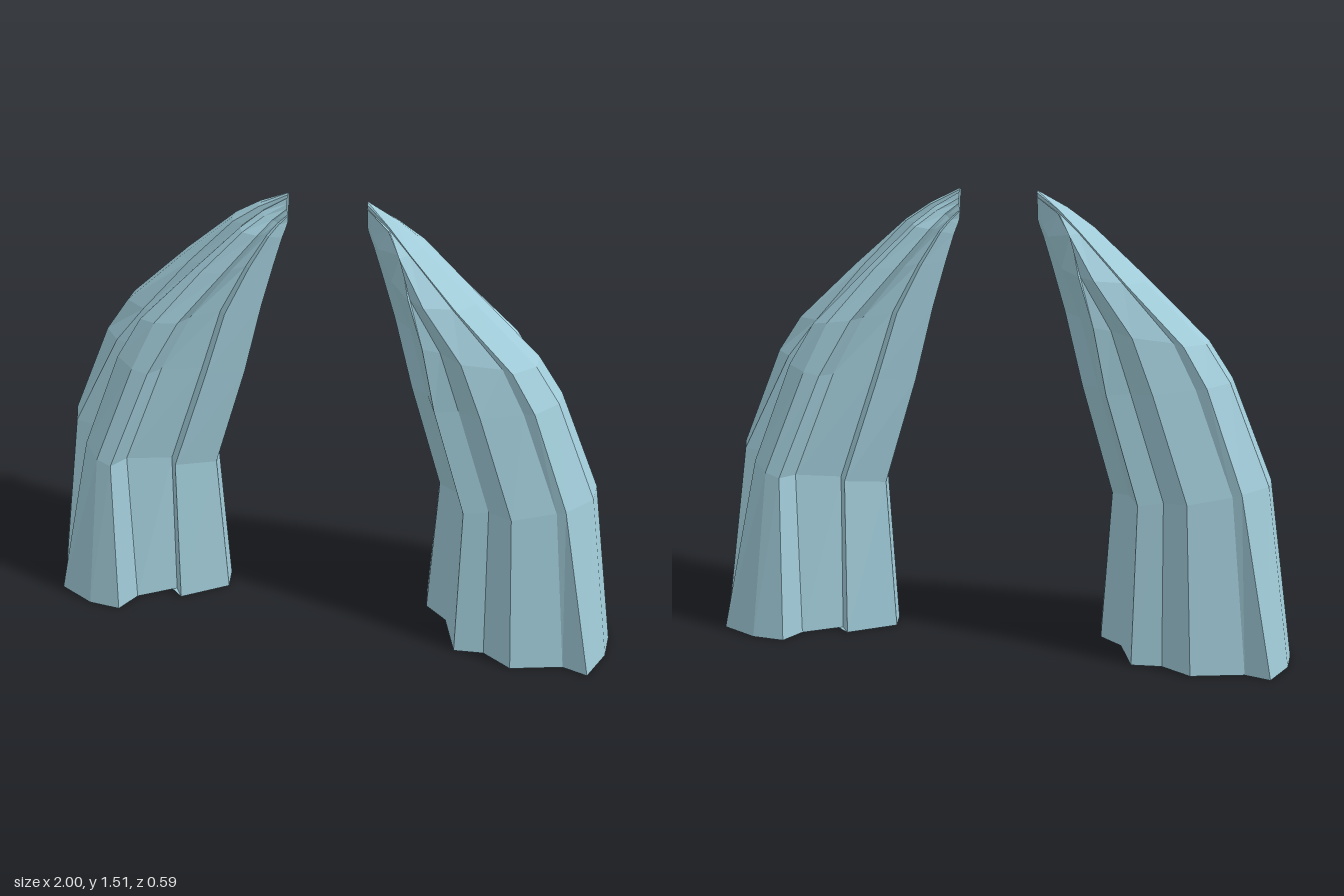
import * as THREE from 'three';

// Jagged footprint of one spire as [x, z], from the inner corner round the back
const FOOT = [
  [0.345, -0.07], [0.49, -0.175], [0.52, -0.13], [0.64, -0.21], [0.68, -0.295],
  [0.79, -0.285], [0.915, -0.22], [0.90, -0.07], [0.965, -0.055], [1.0, 0.04],
  [1.0, 0.14], [0.955, 0.265], [0.87, 0.24], [0.70, 0.29], [0.60, 0.23],
  [0.50, 0.24], [0.44, 0.08], [0.36, 0.015],
];
const SLAB = [3, 4]; // inner edge of the back slab
const CORNER = [6, 7, 11]; // outer corners
const CREASE = [8]; // groove on the outer face

// Rings up the spire. Ends of each tilted ring, depth of its front and back halves,
// x shift of the points named above, and how far out the front edge starts
const RINGS = [
  { inner: [0.34, 0], outer: [1.0, 0], front: 1, back: 1, slab: 0, corner: 0, crease: 0, edge: 0 },
  { inner: [0.375, 0.51], outer: [0.915, 0.6], front: 0.85, back: 0.84, slab: 0.04, corner: -0.04, crease: 0, edge: 0 },
  { inner: [0.27, 0.87], outer: [0.78, 0.93], front: 0.74, back: 0.66, slab: 0.03, corner: -0.03, crease: -0.03, edge: 0.24 },
  { inner: [0.21, 1.12], outer: [0.70, 1.05], front: 0.7, back: 0.54, slab: 0, corner: -0.03, crease: -0.05, edge: 0.28 },
  { inner: [0.17, 1.27], outer: [0.50, 1.24], front: 0.64, back: 0.36, slab: -0.02, corner: -0.03, crease: -0.02, edge: 0.38 },
  { inner: [0.145, 1.36], outer: [0.32, 1.40], front: 0.44, back: 0.22, slab: -0.02, corner: -0.02, crease: 0, edge: 0.65 },
  { inner: [0.135, 1.39], outer: [0.23, 1.46], front: 0.24, back: 0.12, slab: -0.01, corner: -0.01, crease: 0, edge: 0.8 },
  { inner: [0.13, 1.41], outer: [0.13, 1.51], front: 0.05, back: 0.05, slab: 0, corner: 0, crease: 0, edge: 0.8 },
];

function spireGeometry() {
  const n = FOOT.length;
  const pos = [];
  const index = [];
  for (const { inner, outer, front, back, slab, corner, crease, edge } of RINGS) {
    FOOT.forEach(([x, z], j) => {
      let t = (x - 0.34) / 0.66;
      if (z > 0.2) t = Math.max(t, edge);
      let shift = 0;
      let depth = z > 0 ? front : back;
      if (SLAB.includes(j)) shift = slab;
      if (CREASE.includes(j)) shift = crease;
      if (CORNER.includes(j)) {
        shift = corner;
        depth *= 1 + 2 * corner;
      }
      pos.push(
        THREE.MathUtils.lerp(inner[0], outer[0], t) + shift,
        THREE.MathUtils.lerp(inner[1], outer[1], t),
        z * depth,
      );
    });
  }
  // Sides
  for (let i = 0; i < RINGS.length - 1; i++) {
    for (let j = 0; j < n; j++) {
      const a = i * n + j, b = i * n + (j + 1) % n;
      index.push(a, a + n, b, b, a + n, b + n);
    }
  }
  // Base and tip caps
  const base = pos.length / 3;
  pos.push(0.7, 0, 0, 0.13, 1.46, 0);
  const top = (RINGS.length - 1) * n;
  for (let j = 0; j < n; j++) {
    const k = (j + 1) % n;
    index.push(base, j, k, base + 1, top + k, top + j);
  }
  const geometry = new THREE.BufferGeometry();
  geometry.setAttribute('position', new THREE.Float32BufferAttribute(pos, 3));
  geometry.setIndex(index);
  const faceted = geometry.toNonIndexed();
  faceted.computeVertexNormals();
  return faceted;
}

export function createModel() {
  const model = new THREE.Group();
  model.name = 'curvedSpires';
  const stone = new THREE.MeshStandardMaterial({ color: 0xa0cbd8 });
  stone.name = 'paleBlueStone';
  stone.flatShading = true;
  const geometry = spireGeometry();
  // The second spire is the first turned half way round
  ['leftSpire', 'rightSpire'].forEach((name, i) => {
    const spire = new THREE.Mesh(geometry, stone);
    spire.name = name;
    spire.rotation.y = i * Math.PI;
    model.add(spire);
  });
  return model;
}
